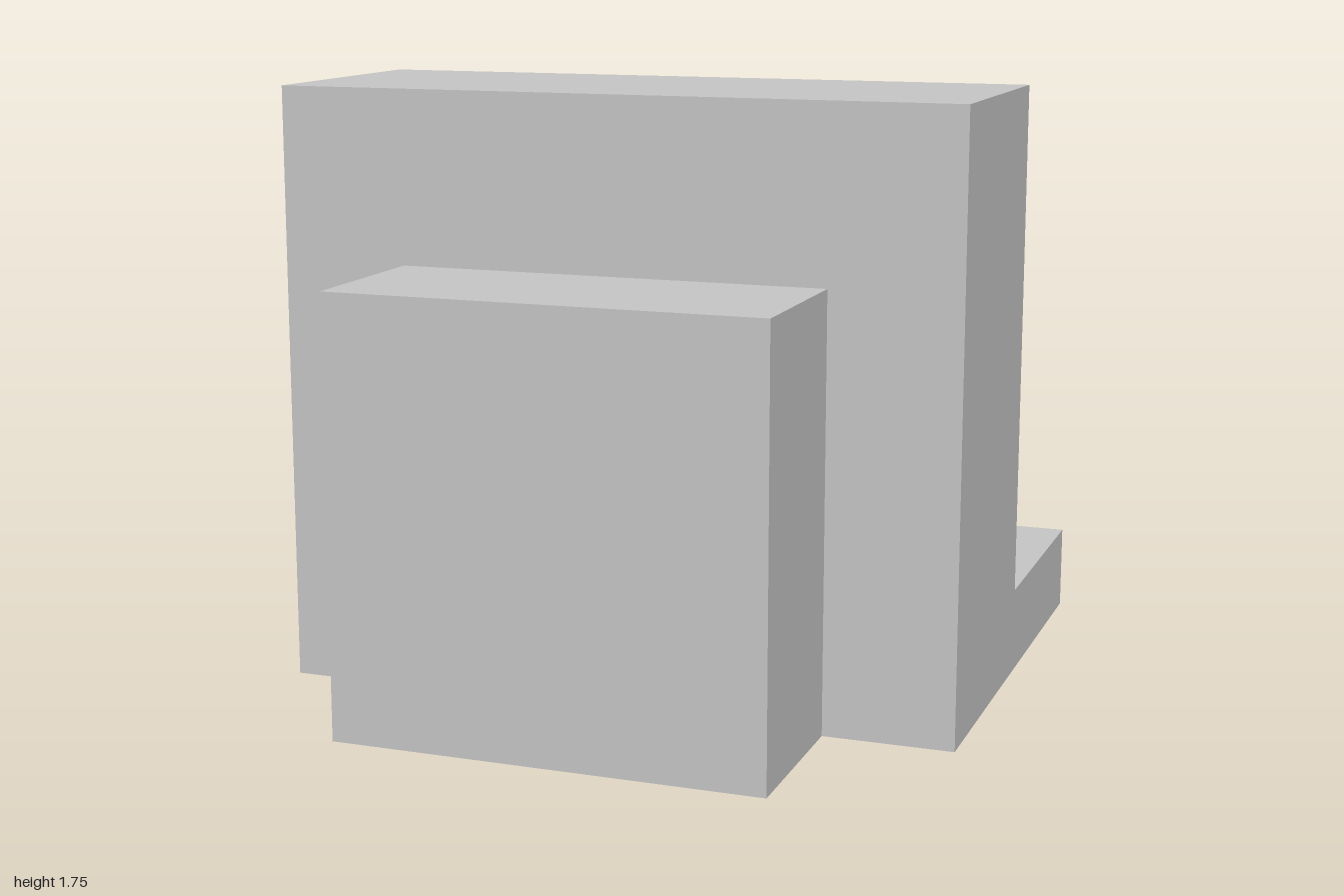
import * as THREE from 'three';

const casing = new THREE.MeshStandardMaterial({ color: 0xc6c6c6 });
casing.name = 'casingGrey';
const glass = new THREE.MeshStandardMaterial({ color: 0x1e1e1e });
glass.name = 'screenBlack';
const light = new THREE.MeshStandardMaterial({ color: 0x8fcb6b });
light.name = 'lampGreen';

const PLATE = 0.004;

// Rounded rectangle traced into a Shape or a Path
function roundedRect(path, x0, y0, x1, y1, r) {
  path.moveTo(x0 + r, y0);
  path.lineTo(x1 - r, y0);
  path.quadraticCurveTo(x1, y0, x1, y0 + r);
  path.lineTo(x1, y1 - r);
  path.quadraticCurveTo(x1, y1, x1 - r, y1);
  path.lineTo(x0 + r, y1);
  path.quadraticCurveTo(x0, y1, x0, y1 - r);
  path.lineTo(x0, y0 + r);
  path.quadraticCurveTo(x0, y0, x0 + r, y0);
  return path;
}

function extrude(shape, depth) {
  return new THREE.ExtrudeGeometry(shape, { depth, bevelEnabled: false, curveSegments: 4 });
}

function part(name, geometry, material) {
  const mesh = new THREE.Mesh(geometry, material);
  mesh.name = name;
  return mesh;
}

export function createModel() {
  const model = new THREE.Group();
  model.name = 'computerTerminal';

  // Cabinet and keyboard ledge: one L-shaped side profile (z, y) swept across x
  const profile = new THREE.Shape([
    [-1, 0], [0.5, 0], [0.5, 1.75], [-0.25, 1.75], [-0.25, 0.25], [-1, 0.25],
  ].map(([z, y]) => new THREE.Vector2(z, y)));
  const body = extrude(profile, 2).rotateY(-Math.PI / 2).translate(1, 0, 0);
  model.add(part('cabinet', body, casing));

  // Tube housing on the opposite side from the screen
  const housing = new THREE.BoxGeometry(1.25, 1.25, 0.5).translate(0, 0.625, 0.75);
  model.add(part('tubeHousing', housing, casing));

  // Dark screen facing -z, with a small window through to the casing
  const screen = roundedRect(new THREE.Shape(), -0.875, 0.375, 0.875, 1.625, 0.02);
  screen.holes.push(roundedRect(new THREE.Path(), 0.37, 1.25, 0.628, 1.378, 0.025));
  model.add(part('screen', extrude(screen, PLATE).translate(0, 0, -0.25 - PLATE), glass));

  // Green lamp lying on the ledge
  const lamp = roundedRect(new THREE.Shape(), -0.873, 0.25, -0.755, 0.378, 0.012);
  const lampGeometry = extrude(lamp, PLATE).rotateX(-Math.PI / 2).translate(0, 0.25, 0);
  model.add(part('lamp', lampGeometry, light));

  return model;
}
